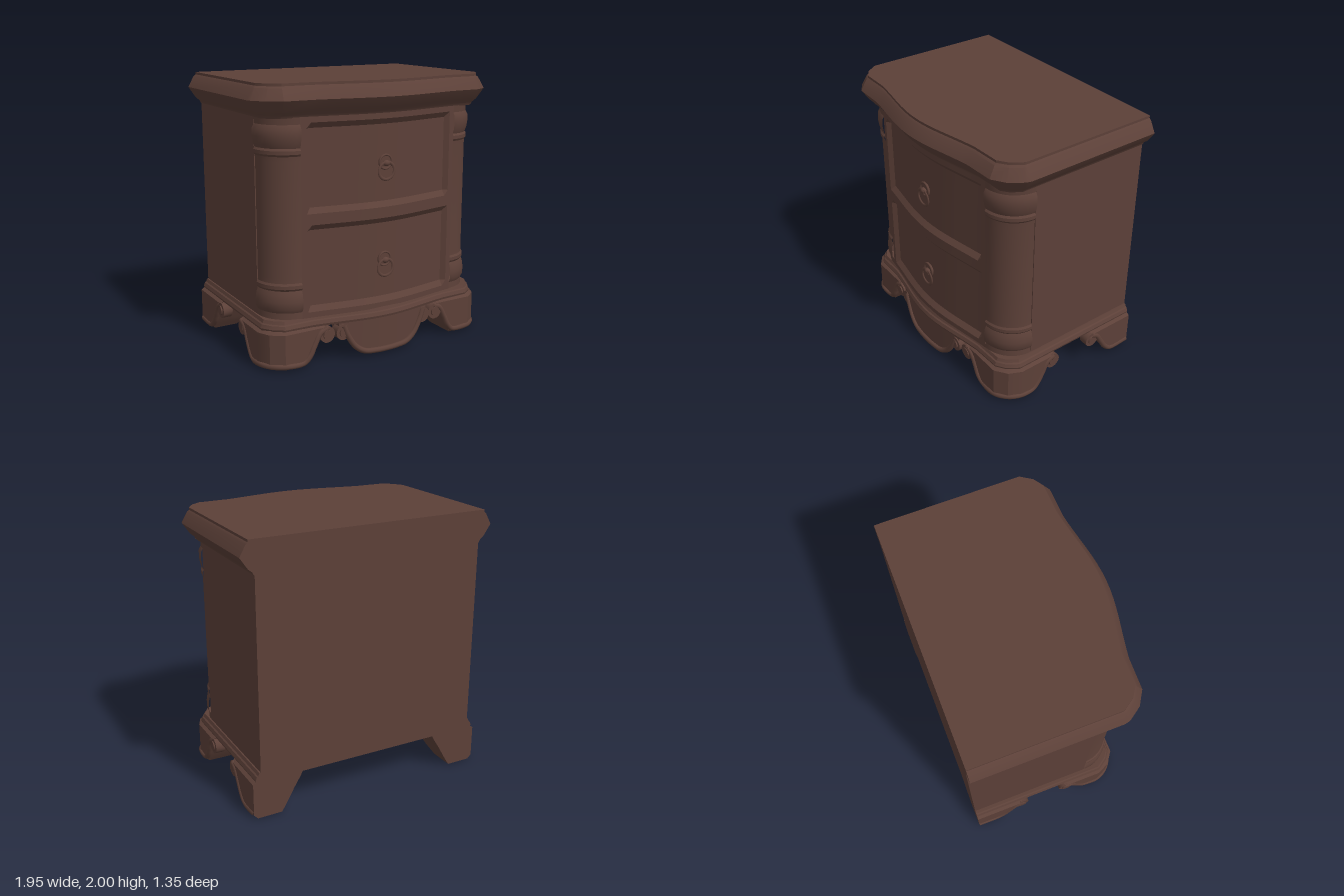
import * as THREE from 'three';
import { toCreasedNormals } from 'three/addons/utils/BufferGeometryUtils.js';

const wood = new THREE.MeshStandardMaterial({ color: 0x5c4038 });
wood.name = 'dark brown wood';

const BACK = -0.68;
// Serpentine swell of the front: 1 in the middle, 0 at |t| = 1
const swell = (t) => {
  const a = Math.min(1, Math.abs(t));
  return 0.5 * (1 - a * a) + 0.25 * (1 + Math.cos(Math.PI * a));
};

function add(parent, name, geometry, x = 0, y = 0, z = 0) {
  const mesh = new THREE.Mesh(geometry, wood);
  mesh.name = name;
  mesh.position.set(x, y, z);
  parent.add(mesh);
  return mesh;
}

// Skin closed plan loops (counterclockwise from above) from bottom to top, with caps
function loft(layers) {
  const n = layers[0].length;
  const index = [];
  for (let k = 0; k < layers.length - 1; k++) {
    for (let i = 0; i < n; i++) {
      const a = k * n + i, b = k * n + (i + 1) % n;
      index.push(a, b, b + n, a, b + n, a + n);
    }
  }
  const cap = (k, flip) => {
    const flat = layers[k].map(([x, , z]) => new THREE.Vector2(x, -z));
    for (const [a, b, c] of THREE.ShapeUtils.triangulateShape(flat, [])) {
      index.push(k * n + a, k * n + (flip ? c : b), k * n + (flip ? b : c));
    }
  };
  cap(0, true);
  cap(layers.length - 1, false);
  const g = new THREE.BufferGeometry();
  g.setAttribute('position', new THREE.Float32BufferAttribute(layers.flat(2), 3));
  g.setIndex(index);
  return toCreasedNormals(g, 0.45);
}

// Plan of the top: straight sides, clipped corners, bowed front
const corner = [[0.975, BACK], [0.975, 0.38], [0.965, 0.42], [0.9, 0.515], [0.8, 0.578]];
const plan = corner.map(([x, z]) => [-x, z]);
for (let i = -8; i <= 8; i++) plan.push([0.57 * i / 8, 0.585 + 0.085 * swell(i / 8)]);
plan.push(...corner.slice().reverse());

function insetPlan(inset, y) {
  return plan.map(([x, z], i) => {
    if (i === 0 || i === plan.length - 1) return [x - Math.sign(x) * inset, y, z];
    const [x0, z0] = plan[i - 1], [x1, z1] = plan[i + 1];
    const len = Math.hypot(x1 - x0, z1 - z0);
    return [x + inset * (z1 - z0) / len, y, z - inset * (x1 - x0) / len];
  });
}

// Bowed drawer front: a grid pushed back inside the two drawer openings
function drawerFront() {
  const xs = [-0.64, -0.6, -0.565];
  for (let i = -7; i <= 7; i++) xs.push(i * 0.07);
  xs.push(0.565, 0.6, 0.64);
  const ys = [1.77, 1.73, 1.69, 1.14, 1.1, 1.02, 0.98, 0.43, 0.39, 0.35];
  const deepRows = [2, 3, 6, 7];
  const g = new THREE.PlaneGeometry(1, 1, xs.length - 1, ys.length - 1);
  const p = g.attributes.position;
  for (let i = 0; i < p.count; i++) {
    const col = i % xs.length, row = Math.floor(i / xs.length);
    const deep = deepRows.includes(row) && Math.abs(xs[col]) < 0.58;
    p.setXYZ(i, xs[col], ys[row], 0.495 + 0.085 * swell(xs[col] / 0.64) - (deep ? 0.03 : 0));
  }
  return toCreasedNormals(g, 0.35);
}

// Scalloped apron: a box whose lower edge and depth follow curves
function apron() {
  const lower = (x) => {
    const a = Math.abs(x);
    if (a > 0.34) return 0.22;
    return a < 0.2 ? 0.012 + 0.6 * a * a : 0.036 + 0.19 * Math.pow((a - 0.2) / 0.14, 0.9);
  };
  const g = new THREE.BoxGeometry(0.76, 1, 0.1, 38, 1, 1);
  const p = g.attributes.position;
  for (let i = 0; i < p.count; i++) {
    const x = p.getX(i);
    p.setY(i, p.getY(i) > 0 ? 0.29 : lower(x));
    p.setZ(i, p.getZ(i) + 0.475 + 0.07 * swell(x / 0.57));
  }
  return toCreasedNormals(g, 0.6);
}

function bead(points, radius = 0.022) {
  const curve = new THREE.CatmullRomCurve3(points.map((p) => new THREE.Vector3(...p)));
  return new THREE.TubeGeometry(curve, points.length * 5, radius, 8);
}

function scroll(parent, x, y, z, alongX) {
  const drum = new THREE.CylinderGeometry(0.06, 0.06, 0.07, 16);
  const eye = new THREE.CylinderGeometry(0.035, 0.045, 0.09, 16);
  for (const g of [drum, eye]) {
    if (alongX) g.rotateZ(-Math.PI / 2);
    else g.rotateX(Math.PI / 2);
    add(parent, 'scroll', toCreasedNormals(g, 0.6), x, y, z);
  }
}

// Quarter-round corner column with turned bands at both ends
function column() {
  const end = [[0.235, 0.35], [0.232, 0.4], [0.248, 0.43], [0.25, 0.48], [0.242, 0.53],
    [0.23, 0.56], [0.24, 0.575], [0.24, 0.6], [0.23, 0.615], [0.228, 0.65]];
  const pts = end.concat(end.map(([r, y]) => [r, 2.12 - y]).reverse());
  const g = new THREE.LatheGeometry(pts.map(([r, y]) => new THREE.Vector2(r, y)), 12, 0, Math.PI / 2);
  return toCreasedNormals(g, 0.5);
}

// Feet: [height, inner x of front foot, inner z of front foot, inner x and z of back foot, outer trim]
const footRows = [
  [0, 0.64, 0.26, 0.72, -0.495, 0.03], [0.03, 0.62, 0.24, 0.70, -0.475, 0],
  [0.08, 0.59, 0.21, 0.67, -0.44, 0], [0.17, 0.55, 0.165, 0.62, -0.4, 0],
  [0.25, 0.5, 0.12, 0.57, -0.35, 0], [0.27, 0.47, 0.09, 0.56, -0.31, 0], [0.29, 0.45, 0.07, 0.55, -0.28, 0.03],
];
const frontFoot = () => loft(footRows.map(([y, x, z, , , t]) => [
  [x, y, z], [x, y, 0.54 - t], [0.8 - t * 0.4, y, 0.54 - t],
  [0.89 - t * 0.7, y, 0.475 - t * 0.7], [0.935 - t, y, 0.38 - t * 0.4], [0.935 - t, y, z],
]));
const backFoot = () => loft(footRows.map(([y, , , x, z, t]) => [
  [x, y, BACK], [x, y, z], [0.935 - t, y, z], [0.935 - t, y, BACK],
]));

// Drop-ring pull
function pull(parent, y) {
  const g = new THREE.Group();
  g.name = 'drawerPull';
  g.position.set(0, y, 0.55);
  const plate = add(g, 'pullPlate', new THREE.CylinderGeometry(0.055, 0.055, 0.012, 24), 0, 0.02, 0.004);
  plate.rotation.x = Math.PI / 2;
  add(g, 'pullPlateRim', new THREE.TorusGeometry(0.05, 0.008, 8, 24), 0, 0.02, 0.008);
  const knob = add(g, 'pullKnob', new THREE.SphereGeometry(0.022, 14, 10), 0, 0.012, 0.018);
  knob.scale.set(1.3, 1, 1);
  const ring = add(g, 'pullRing', new THREE.TorusGeometry(0.062, 0.011, 8, 28), 0, -0.042, 0.024);
  ring.scale.set(1.03, 1, 0.6);
  parent.add(g);
}

export function createModel() {
  const model = new THREE.Group();
  model.name = 'nightstand';

  // Moulded top and base
  add(model, 'top', loft([[0.095, 1.765], [0.085, 1.785], [0.055, 1.81], [0, 1.89], [0.045, 1.97], [0.06, 1.982], [0.06, 2]]
    .map(([d, y]) => insetPlan(d, y))));
  add(model, 'baseMoulding', loft([[0.065, 0.283], [0.06, 0.3], [0.07, 0.325], [0.08, 0.332], [0.09, 0.355]]
    .map(([d, y]) => insetPlan(d, y))));

  // Carcass and drawers
  add(model, 'carcass', new THREE.BoxGeometry(1.75, 1.44, 0.94), 0, 1.06, -0.21);
  add(model, 'drawerCore', new THREE.BoxGeometry(1.28, 1.44, 0.25), 0, 1.06, 0.335);
  add(model, 'drawerFronts', drawerFront());
  pull(model, 1.4);
  pull(model, 0.69);

  // Apron with beaded edge
  add(model, 'apron', apron());
  const edge = [[-0.345, 0.265], [-0.31, 0.18], [-0.25, 0.09], [-0.18, 0.045], [-0.09, 0.034], [0, 0.032]];
  const both = edge.concat(edge.slice(0, -1).map(([x, y]) => [-x, y]).reverse());
  add(model, 'apronBead', bead(both.map(([x, y]) => [x, y, 0.525 + 0.07 * swell(x / 0.57)])));

  // Columns, feet and scrolls, mirrored left and right
  for (const side of [1, -1]) {
    const half = new THREE.Group();
    half.name = side > 0 ? 'leftSide' : 'rightSide';
    half.scale.x = side;
    add(half, 'cornerColumn', column(), 0.64, 0, 0.26);
    add(half, 'frontFoot', frontFoot());
    add(half, 'backFoot', backFoot());
    add(half, 'frontFootBead', bead([[0.46, 0.262, 0.535], [0.52, 0.235, 0.535], [0.57, 0.15, 0.535], [0.605, 0.08, 0.535],
      [0.65, 0.035, 0.53], [0.79, 0.035, 0.53], [0.88, 0.035, 0.468], [0.924, 0.035, 0.38], [0.924, 0.035, 0.27],
      [0.924, 0.08, 0.225], [0.924, 0.15, 0.185], [0.924, 0.235, 0.14], [0.924, 0.262, 0.08]]));
    add(half, 'backFootBead', bead([[0.924, 0.262, -0.295], [0.924, 0.235, -0.345], [0.924, 0.15, -0.4],
      [0.924, 0.08, -0.445], [0.924, 0.035, -0.5], [0.924, 0.035, -0.675]]));
    scroll(half, 0.47, 0.215, 0.515, false);
    scroll(half, 0.345, 0.215, 0.53, false);
    scroll(half, 0.895, 0.215, 0.09, true);
    scroll(half, 0.895, 0.215, -0.3, true);
    model.add(half);
  }
  return model;
}
